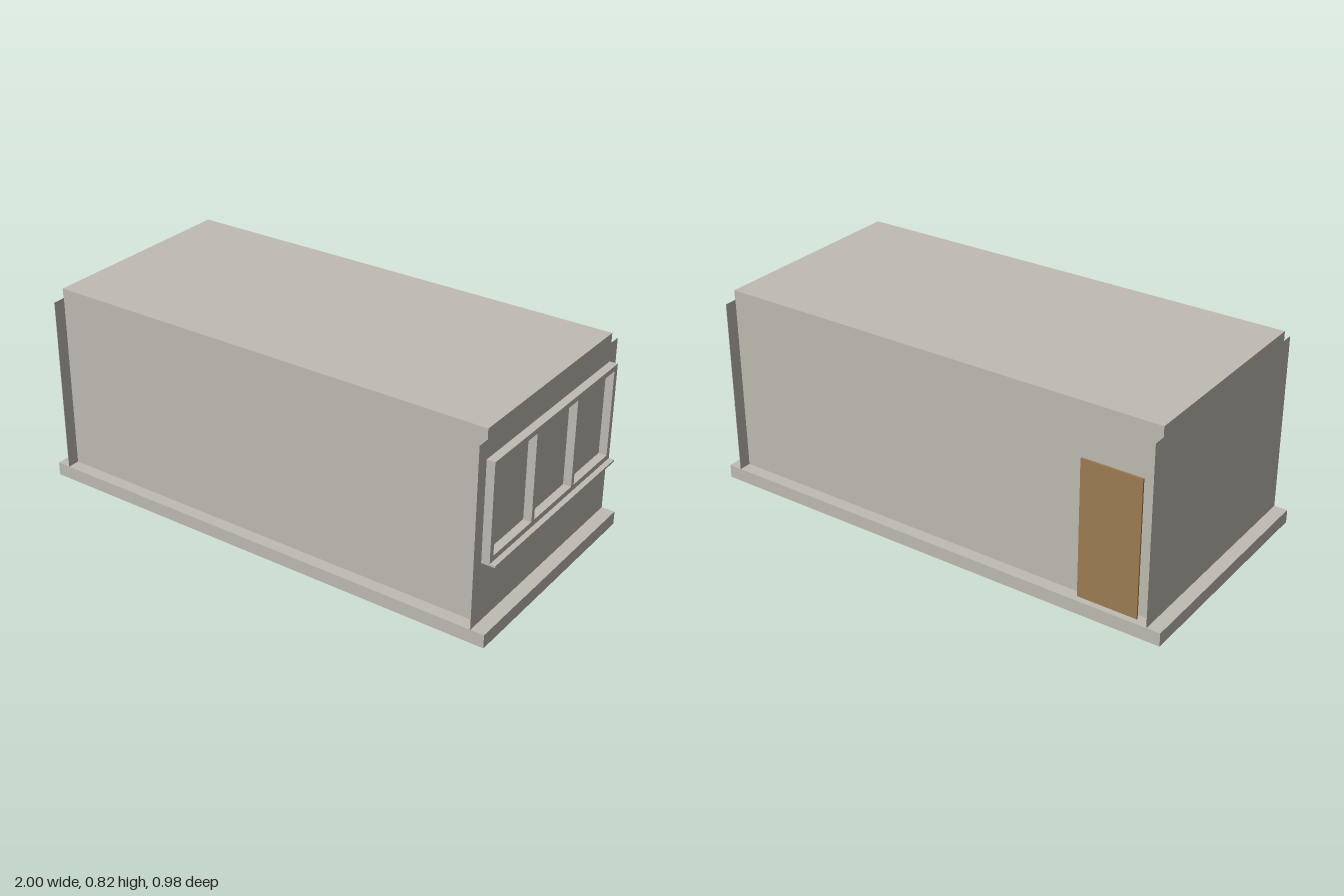
import * as THREE from 'three';

const concrete = new THREE.MeshStandardMaterial({ color: 0xc0bcb3 });
concrete.name = 'warm grey concrete';
const wood = new THREE.MeshStandardMaterial({ color: 0x9e7e54 });
wood.name = 'brown wood';

// Box given by its minimum and maximum corners
function box(name, material, [x0, y0, z0], [x1, y1, z1]) {
  const mesh = new THREE.Mesh(new THREE.BoxGeometry(x1 - x0, y1 - y0, z1 - z0), material);
  mesh.position.set((x0 + x1) / 2, (y0 + y1) / 2, (z0 + z1) / 2);
  mesh.name = name;
  return mesh;
}

function rectangle(PathType, x0, y0, x1, y1) {
  const p = new PathType();
  p.moveTo(x0, y0);
  p.lineTo(x1, y0);
  p.lineTo(x1, y1);
  p.lineTo(x0, y1);
  p.closePath();
  return p;
}

// Projecting frame with three openings, facing +x
function windowFrame(wallX, halfZ) {
  const shape = rectangle(THREE.Shape, -halfZ, 0.305, halfZ, 0.707);
  for (const [a, b] of [[-0.415, -0.155], [-0.136, 0.136], [0.155, 0.415]]) {
    shape.holes.push(rectangle(THREE.Path, a, 0.332, b, 0.686));
  }
  const geometry = new THREE.ExtrudeGeometry(shape, { depth: 0.033, bevelEnabled: false });
  geometry.rotateY(Math.PI / 2);
  const mesh = new THREE.Mesh(geometry, concrete);
  mesh.position.x = wallX;
  mesh.name = 'windowFrame';
  return mesh;
}

export function createModel() {
  const model = new THREE.Group();
  model.name = 'building';
  const X = 0.945, Z = 0.4375, slabZ = 0.4885, floor = 0.055, eave = 0.782;

  // Slab, main volume and roof
  model.add(
    box('floorSlab', concrete, [-1, 0, -slabZ], [1, floor, slabZ]),
    box('longWalls', concrete, [-X + 0.002, floor, -Z], [X - 0.002, eave, Z]),
    box('roof', concrete, [-X, eave, -Z], [X, 0.822, Z])
  );

  // Thin end walls reaching past the long walls
  for (const s of [-1, 1]) {
    const a = s * X, b = s * (X - 0.002);
    model.add(box(s > 0 ? 'leftEndWall' : 'rightEndWall', concrete,
      [Math.min(a, b), floor, -slabZ], [Math.max(a, b), eave, slabZ]));
  }

  // Three-part window with its sill
  model.add(
    windowFrame(X, Z),
    box('windowSill', concrete, [X, 0.302, -Z], [1, 0.31, Z])
  );

  // Door standing off the back wall on a small bracket
  model.add(
    box('door', wood, [-0.893, 0.057, -0.466], [-0.648, 0.62, -0.459]),
    box('doorBracket', concrete, [-0.692, 0.5, -0.459], [-0.686, 0.61, -Z])
  );
  return model;
}
